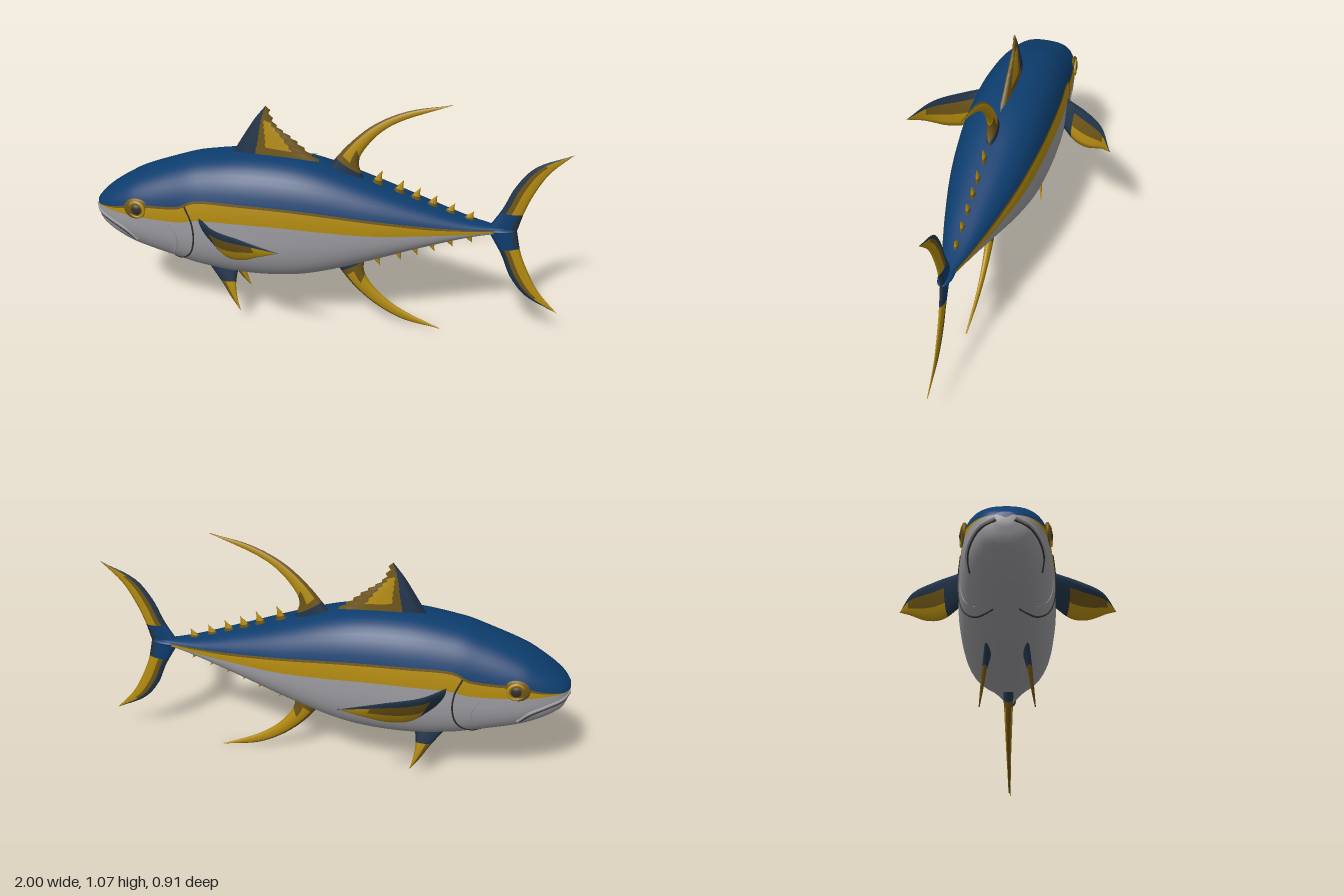
import * as THREE from 'three';

const mat = (name, color) => Object.assign(new THREE.MeshStandardMaterial({ color }), { name });
const M = {
  blue: mat('back blue', 0x0d3d6e),
  navy: mat('fin navy', 0x22354a),
  yellow: mat('stripe yellow', 0xb38b10),
  olive: mat('fin olive', 0x6e5518),
  grey: mat('belly grey', 0x9d9da2),
  dark: mat('dark line', 0x33312c),
};
const V = (p) => new THREE.Vector3(p[0], p[1], p[2] || 0);

// Skin closed rings of points; colourOf(i, j) picks the material of each quad
function skin(name, rings, colourOf) {
  const n = rings[0].length, lists = {};
  for (let i = 0; i < rings.length - 1; i++) {
    for (let j = 0; j < n; j++) {
      const k = (j + 1) % n, a = i * n + j, b = i * n + k, c = a + n, d = b + n;
      (lists[colourOf(i, j)] ||= []).push(a, b, c, b, d, c);
    }
  }
  const geo = new THREE.BufferGeometry().setFromPoints(rings.flat());
  const index = [], mats = [];
  for (const key of Object.keys(lists)) {
    geo.addGroup(index.length, lists[key].length, mats.length);
    index.push(...lists[key]);
    mats.push(M[key]);
  }
  geo.setIndex(index);
  geo.computeVertexNormals();
  const mesh = new THREE.Mesh(geo, mats);
  mesh.name = name;
  return mesh;
}

// Body stations: x, top, bottom, half width, widest height, blue edge, yellow edge
const stations = [
  [-1, 0.54, 0.495, 0.03, 0.52, 0.53, 0.53],
  [-0.98, 0.563, 0.445, 0.072, 0.52, 0.535, 0.533],
  [-0.94, 0.597, 0.412, 0.105, 0.52, 0.545, 0.535],
  [-0.88, 0.637, 0.378, 0.133, 0.52, 0.56, 0.535],
  [-0.8, 0.682, 0.345, 0.155, 0.52, 0.585, 0.533],
  [-0.6, 0.757, 0.287, 0.177, 0.52, 0.605, 0.533],
  [-0.53, 0.775, 0.27, 0.184, 0.52, 0.638, 0.55],
  [-0.35, 0.799, 0.247, 0.193, 0.525, 0.643, 0.556],
  [-0.15, 0.795, 0.253, 0.19, 0.53, 0.637, 0.553],
  [0, 0.768, 0.285, 0.18, 0.53, 0.624, 0.543],
  [0.2, 0.703, 0.355, 0.153, 0.53, 0.597, 0.528],
  [0.4, 0.632, 0.428, 0.11, 0.528, 0.567, 0.523],
  [0.6, 0.565, 0.49, 0.058, 0.526, 0.54, 0.52],
  [0.72, 0.54, 0.51, 0.024, 0.525, 0.53, 0.521],
  [0.78, 0.533, 0.515, 0.012, 0.524, 0.527, 0.521],
];
function bodyAt(x) {
  let i = 0;
  while (i < stations.length - 2 && x > stations[i + 1][0]) i++;
  const p = stations[i], q = stations[i + 1];
  const o = stations[Math.max(i - 1, 0)], r = stations[Math.min(i + 2, stations.length - 1)];
  const h = q[0] - p[0], s = (x - p[0]) / h, s2 = s * s, s3 = s2 * s;
  return p.map((v, k) => {
    const m0 = (q[k] - o[k]) / (q[0] - o[0]) * h, m1 = (r[k] - v) / (r[0] - p[0]) * h;
    return (2 * s3 - 3 * s2 + 1) * v + (s3 - 2 * s2 + s) * m0 + (3 * s2 - 2 * s3) * q[k] + (s3 - s2) * m1;
  });
}
const POWER = 2.5;
const heightRatio = (y, [, top, bottom, , cy]) =>
  THREE.MathUtils.clamp((y - cy) / (y > cy ? top - cy : cy - bottom), -1, 1);
function sideZ(x, y) {
  const s = bodyAt(x);
  return s[3] * Math.pow(1 - Math.pow(Math.abs(heightRatio(y, s)), POWER), 1 / POWER);
}

// Squarish cross-sections whose points follow the colour edges
function body() {
  const bands = [['blue', 9], ['olive', 1], ['yellow', 3], ['grey', 12]];
  const half = bands.flatMap(([c, n]) => Array(n).fill(c));
  const colours = [...half, ...half.slice().reverse()];
  const rings = [], steps = 72;
  for (let i = 0; i <= steps; i++) {
    const s = bodyAt(-1 + 1.78 * Math.pow(i / steps, 1.4));
    const [x, top, bottom, w, cy, e1, e2] = s;
    const angle = (y) => {
      const t = heightRatio(y, s);
      return Math.sign(t) * Math.asin(Math.pow(Math.abs(t), POWER / 2));
    };
    const line = Math.min(0.011, Math.max(0, e1 - e2) * 0.3);
    const edges = [Math.PI / 2, angle(e1), angle(e1 - line), angle(e2), -Math.PI / 2];
    const angles = bands.flatMap(([, n], b) =>
      Array.from({ length: n }, (_, k) => THREE.MathUtils.lerp(edges[b], edges[b + 1], k / n)));
    angles.push(-Math.PI / 2);
    const side = angles.map((a) => {
      const v = Math.sin(a), h = v > 0 ? top - cy : cy - bottom;
      return new THREE.Vector3(x, cy + h * Math.sign(v) * Math.pow(Math.abs(v), 2 / POWER),
        w * Math.pow(Math.max(0, Math.cos(a)), 2 / POWER));
    });
    const back = side.slice(1, -1).reverse().map((p) => new THREE.Vector3(p.x, p.y, -p.z));
    rings.push([...side, ...back]);
  }
  // Close the nose and the tail root
  const point = (x, y) => rings[0].map(() => new THREE.Vector3(x, y, 0));
  rings.unshift(point(-1, 0.518));
  rings.push(point(0.785, 0.524));
  return skin('body', rings, (i, j) => colours[j]);
}

// Lens-shaped fin between a leading and a trailing curve, both from root to tip
function fin(name, lead, trail, thick, colour, { rows = 20, cols = 8, saw = 0 } = {}) {
  const L = new THREE.CatmullRomCurve3(lead.map(V)), T = new THREE.CatmullRomCurve3(trail.map(V));
  const normal = T.getPoint(0.4).sub(L.getPoint(0.4))
    .cross(L.getPoint(0.5).sub(L.getPoint(0.3))).normalize();
  const rings = [];
  for (let i = 0; i <= rows; i++) {
    const t = i / rows, a = L.getPoint(t), b = T.getPoint(t);
    if (i % 2 && i < rows) b.x += saw;
    rings.push(Array.from({ length: 2 * cols }, (_, j) => {
      const u = (j <= cols ? j : 2 * cols - j) / cols;
      const h = thick * (1 - 0.85 * t) * Math.pow(4 * u * (1 - u), 0.7) * (j <= cols ? 1 : -1);
      return a.clone().lerp(b, u).addScaledVector(normal, h);
    }));
  }
  return skin(name, rings, (i, j) =>
    colour(((j < cols ? j : 2 * cols - 1 - j) + 0.5) / cols, (i + 0.5) / rows));
}

function tube(name, pts, sign, radius, material) {
  const curve = new THREE.CatmullRomCurve3(
    pts.map(([x, y]) => new THREE.Vector3(x, y, sign * sideZ(x, y))));
  const mesh = new THREE.Mesh(new THREE.TubeGeometry(curve, 28, radius, 6), material);
  mesh.name = name;
  return mesh;
}

function ball(name, material, pos, scale) {
  const mesh = new THREE.Mesh(new THREE.SphereGeometry(1, 24, 14), material);
  mesh.name = name;
  mesh.position.set(...pos);
  mesh.scale.set(...scale);
  return mesh;
}

export function createModel() {
  const fish = new THREE.Group();
  fish.name = 'fish';
  fish.add(body());

  // Dorsal and anal fins
  fish.add(fin('firstDorsalFin',
    [[-0.41, 0.77], [-0.35, 0.87], [-0.3, 0.95], [-0.252, 1.012]],
    [[0, 0.755], [-0.075, 0.81], [-0.15, 0.875], [-0.22, 0.93], [-0.252, 1.012]], 0.024,
    (u, t) => (u < 0.26 ? 'navy' : t > 0.25 && t < 0.75 && u > 0.38 && u < 0.75 ? 'yellow' : 'olive'),
    { saw: 0.014 }));
  const sickle = (u, t) =>
    (t < 0.1 ? 'navy' : t < 0.3 && (u > 0.5 || t < 0.17) ? 'olive' : u < 0.13 ? 'olive' : 'yellow');
  fish.add(fin('secondDorsalFin',
    [[0, 0.75], [0.1, 0.875], [0.2, 0.965], [0.33, 1.03], [0.505, 1.068]],
    [[0.165, 0.7], [0.135, 0.79], [0.18, 0.88], [0.27, 0.965], [0.505, 1.068]], 0.022, sickle));
  fish.add(fin('analFin',
    [[0.03, 0.31], [0.12, 0.19], [0.22, 0.1], [0.34, 0.035], [0.505, 0.001]],
    [[0.175, 0.36], [0.165, 0.27], [0.215, 0.185], [0.31, 0.1], [0.505, 0.001]], 0.022, sickle));

  // Tail fin
  const tail = (u, t) => (t < 0.22 ? (u < 0.75 ? 'blue' : 'navy')
    : u < 0.26 ? 'navy' : u < 0.5 && t < 0.8 ? 'olive' : 'yellow');
  fish.add(fin('upperTailLobe',
    [[0.68, 0.53], [0.735, 0.625], [0.78, 0.73], [0.85, 0.82], [0.995, 0.887]],
    [[0.8, 0.522], [0.825, 0.62], [0.862, 0.715], [0.91, 0.8], [0.995, 0.887]], 0.012, tail));
  fish.add(fin('lowerTailLobe',
    [[0.68, 0.52], [0.745, 0.405], [0.79, 0.3], [0.86, 0.213], [1, 0.137]],
    [[0.8, 0.528], [0.825, 0.42], [0.865, 0.325], [0.915, 0.235], [1, 0.137]], 0.012, tail));
  fish.add(ball('tailKeel', M.blue, [0.72, 0.524, 0], [0.075, 0.012, 0.03]));

  // Finlets along the tail stalk
  [0.225, 0.315, 0.385, 0.455, 0.53, 0.61].forEach((x, i) => {
    const size = 0.065 - i * 0.005, s = bodyAt(x);
    for (const [edge, dir] of [[s[1], 1], [s[2], -1]]) {
      const tip = [x + 0.01, edge + dir * size], root = edge - dir * 0.02;
      fish.add(fin(dir > 0 ? 'upperFinlet' : 'lowerFinlet',
        [[x - 0.045, root + dir * 0.015], [x - 0.015, edge + dir * size * 0.55], tip],
        [[x + 0.02, root], [x + 0.008, edge + dir * size * 0.5], tip], 0.011,
        (u, t) => (t < 0.4 ? 'olive' : 'yellow'), { rows: 6, cols: 4 }));
    }
  });

  // Paired fins and face details
  for (const s of [1, -1]) {
    const side = s > 0 ? 'right' : 'left';
    const mirror = (pts) => pts.map(([x, y, z]) => [x, y, z * s]);
    fish.add(fin(side + 'PectoralFin',
      mirror([[-0.52, 0.565, 0.17], [-0.42, 0.575, 0.285], [-0.28, 0.598, 0.385], [-0.115, 0.593, 0.452]]),
      mirror([[-0.46, 0.455, 0.17], [-0.385, 0.432, 0.245], [-0.3, 0.465, 0.32], [-0.21, 0.535, 0.4],
        [-0.115, 0.593, 0.452]]), 0.013,
      (u, t) => (u < 0.26 || t < 0.2 ? 'navy' : u < 0.63 && t < 0.75 ? 'olive' : 'yellow')));
    fish.add(fin(side + 'PelvicFin',
      mirror([[-0.51, 0.29, 0.075], [-0.45, 0.2, 0.085], [-0.405, 0.125, 0.095], [-0.365, 0.072, 0.106]]),
      mirror([[-0.375, 0.28, 0.065], [-0.385, 0.2, 0.088], [-0.38, 0.14, 0.098], [-0.365, 0.072, 0.106]]), 0.014,
      (u, t) => (t < 0.3 ? 'navy' : u < 0.4 ? 'olive' : 'yellow')));

    const ex = -0.785, ey = 0.568, ez = sideZ(ex, ey);
    fish.add(ball(side + 'EyeSocket', M.olive, [ex, ey, s * (ez - 0.005)], [0.056, 0.05, 0.015]));
    const iris = new THREE.Mesh(new THREE.TorusGeometry(0.034, 0.007, 8, 28), M.yellow);
    iris.name = side + 'Iris';
    iris.position.set(ex, ey, s * (ez + 0.004));
    iris.rotation.y = -s * 0.15;
    fish.add(iris);
    fish.add(ball(side + 'Pupil', M.dark, [ex, ey, s * (ez + 0.003)], [0.024, 0.024, 0.012]));

    fish.add(tube(side + 'Mouth',
      [[-0.999, 0.508], [-0.97, 0.495], [-0.91, 0.475], [-0.85, 0.445], [-0.81, 0.405]], s, 0.004, M.dark));
    fish.add(tube(side + 'Lip',
      [[-0.998, 0.518], [-0.97, 0.506], [-0.91, 0.487], [-0.845, 0.457], [-0.8, 0.41]], s, 0.007, M.grey));
    fish.add(tube(side + 'GillEdge',
      [[-0.57, 0.61], [-0.542, 0.54], [-0.537, 0.46], [-0.56, 0.38], [-0.62, 0.325], [-0.7, 0.318]],
      s, 0.004, M.dark));
    fish.add(tube(side + 'CheekFold',
      [[-0.645, 0.52], [-0.615, 0.46], [-0.625, 0.39], [-0.67, 0.34]], s, 0.003, M.grey));
  }
  return fish;
}
